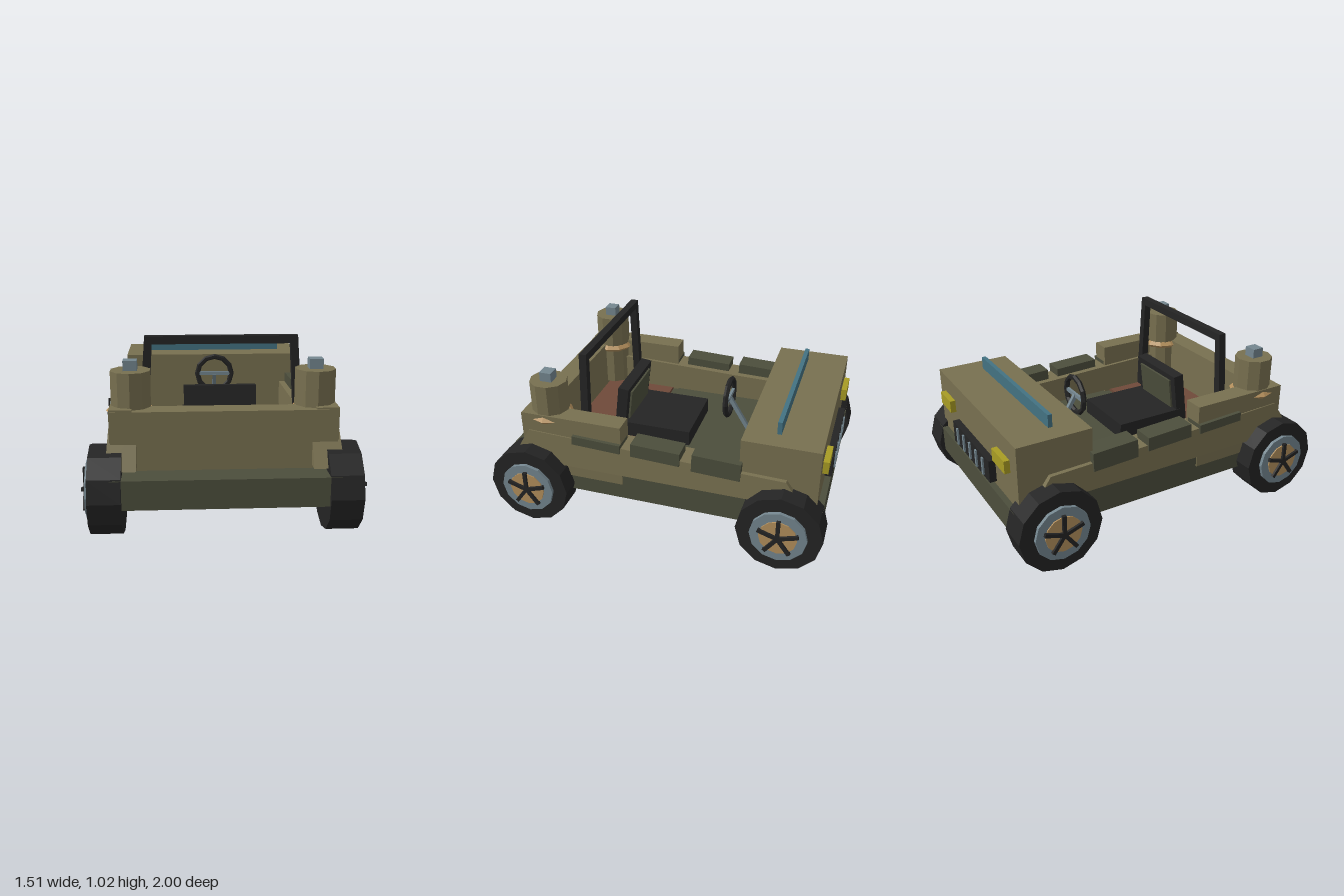
import * as THREE from 'three';

const mat = (name, color) => {
  const m = new THREE.MeshStandardMaterial({ color, flatShading: true });
  m.name = name;
  return m;
};

export function createModel() {
  const olive = mat('olive paint', 0x787050);
  const green = mat('dark green', 0x4c4e3c);
  const black = mat('black rubber', 0x242424);
  const steel = mat('blue grey steel', 0x74868f);
  const tan = mat('tan', 0xb38f5c);
  const teal = mat('teal glass', 0x437282);
  const yellow = mat('yellow lamp', 0xa89c24);
  const rust = mat('rust brown', 0x6f4a39);

  const model = new THREE.Group();
  model.name = 'openBuggy';

  const add = (name, geo, material, parent = model) => {
    const m = new THREE.Mesh(geo, material);
    m.name = name;
    parent.add(m);
    return m;
  };
  // Box given by its minimum and maximum on each axis
  const box = (name, material, [x0, x1], [y0, y1], [z0, z1], parent) => {
    const m = add(name, new THREE.BoxGeometry(x1 - x0, y1 - y0, z1 - z0), material, parent);
    m.position.set((x0 + x1) / 2, (y0 + y1) / 2, (z0 + z1) / 2);
    return m;
  };
  // Span between two distances from the centre line, on either side
  const span = (s, a, b) => (s > 0 ? [a, b] : [-b, -a]);
  const disc = (name, r, x, width, material, parent, sides = 12) => {
    const m = add(name, new THREE.CylinderGeometry(r, r, width, sides).rotateZ(Math.PI / 2), material, parent);
    m.position.x = x;
  };

  // Chassis, hood and rear panel
  box('chassis', green, [-0.6, 0.6], [0.2, 0.36], [-0.97, 0.97]);
  box('hood', olive, [-0.59, 0.59], [0.36, 0.735], [-0.935, -0.495]);
  box('rearPanel', olive, [-0.6, 0.6], [0.36, 0.68], [0.69, 0.815]);
  box('rearFloor', rust, [-0.48, 0.48], [0.355, 0.38], [0.23, 0.7]);
  box('windshield', teal, [-0.47, 0.47], [0.73, 0.81], [-0.695, -0.67]);

  // Grille with slats
  box('grille', black, [-0.285, 0.285], [0.385, 0.52], [-0.975, -0.93]);
  for (let i = -2; i <= 2; i++) {
    box('grilleSlat', steel, [i * 0.1 - 0.01, i * 0.1 + 0.01], [0.4, 0.505], [-0.985, -0.97]);
  }

  // Side panel outline, drawn in (-z, y)
  const outline = new THREE.Shape(
    [[0.89, 0.38], [0.77, 0.58], [-0.2, 0.545], [-0.76, 0.53], [-0.87, 0.38]]
      .map(([z, y]) => new THREE.Vector2(-z, y)));

  for (const s of [1, -1]) {
    const side = new THREE.Group();
    side.name = s > 0 ? 'leftSide' : 'rightSide';
    model.add(side);

    // Side panel, leaning outward towards the bottom
    const geo = new THREE.ExtrudeGeometry(outline, { depth: 0.15, bevelEnabled: false });
    geo.rotateY(Math.PI / 2).translate(s > 0 ? 0.465 : -0.615, 0, 0);
    const p = geo.attributes.position;
    for (let i = 0; i < p.count; i++) {
      if (Math.abs(p.getX(i)) > 0.6) p.setX(i, s * (0.612 + (0.58 - p.getY(i)) * 0.08));
    }
    geo.computeVertexNormals();
    add('sidePanel', geo, olive, side);

    box('rearSideBox', olive, span(s, 0.485, 0.606), [0.3, 0.69], [0.195, 0.81], side);

    // Armour pads
    [[0.195, 0.49, 0.535, 0.59], [-0.16, 0.13, 0.522, 0.605], [-0.51, -0.23, 0.495, 0.605]]
      .forEach(([z0, z1, y0, y1]) => {
        const pad = box('sidePad', green, span(s, 0.505, 0.628), [y0, y1], [z0, z1], side);
        pad.rotation.x = -0.04;
      });

    // Rear canister with cap and band
    const canister = add('canister', new THREE.CylinderGeometry(0.11, 0.11, 0.475, 10), olive, side);
    canister.position.set(s * 0.495, 0.6375, 0.67);
    box('canisterCap', steel, span(s, 0.458, 0.532), [0.87, 0.93], [0.635, 0.705], side);
    const band = add('canisterBand', new THREE.TorusGeometry(0.112, 0.022, 4, 10).rotateX(Math.PI / 2), tan, side);
    band.position.set(s * 0.495, 0.655, 0.67);

    box('headlamp', yellow, span(s, 0.33, 0.5), [0.55, 0.625], [-0.968, -0.93], side);

    // Wheels with star spokes
    for (const z of [0.755, -0.755]) {
      const wheel = new THREE.Group();
      wheel.name = z > 0 ? 'rearWheel' : 'hoodWheel';
      wheel.position.set(0, 0.245, z);
      side.add(wheel);
      disc('tire', 0.245, s * 0.6275, 0.175, black, wheel);
      disc('rim', 0.162, s * 0.72, 0.03, steel, wheel);
      disc('hub', 0.108, s * 0.73, 0.024, tan, wheel);
      for (let i = 0; i < 5; i++) {
        const spoke = add('spoke', new THREE.BoxGeometry(0.018, 0.122, 0.022).translate(s * 0.747, 0.058, 0), black, wheel);
        spoke.rotation.x = i * Math.PI * 2 / 5;
      }
    }
  }

  // Roll bar
  const bar = new THREE.Shape(
    [[-0.475, 0.36], [-0.425, 1.025], [0.425, 1.025], [0.475, 0.36],
      [0.425, 0.36], [0.385, 0.98], [-0.385, 0.98], [-0.425, 0.36]]
      .map(([x, y]) => new THREE.Vector2(x, y)));
  add('rollBar', new THREE.ExtrudeGeometry(bar, { depth: 0.045, bevelEnabled: false }).translate(0, 0, 0.455), black);

  // Seat with leaning backrest
  box('seatBase', black, [-0.215, 0.215], [0.385, 0.48], [-0.095, 0.345]);
  const back = new THREE.Group();
  back.name = 'seatBack';
  back.position.set(0, 0.55, 0.345);
  back.rotation.x = -0.12;
  model.add(back);
  box('backrest', black, [-0.21, 0.21], [-0.16, 0.16], [-0.033, 0.033], back);
  box('backrestPanel', green, [-0.165, 0.165], [-0.09, 0.125], [-0.045, -0.03], back);

  // Steering wheel, crossbar and column
  add('steeringWheel', new THREE.TorusGeometry(0.113, 0.017, 6, 12), black).position.set(0, 0.645, -0.29);
  box('steeringCrossbar', steel, [-0.105, 0.105], [0.633, 0.657], [-0.298, -0.282]);
  const from = new THREE.Vector3(0, 0.645, -0.29), to = new THREE.Vector3(0, 0.35, -0.47);
  const column = add('steeringColumn', new THREE.BoxGeometry(0.024, 0.024, from.distanceTo(to)), steel);
  column.position.copy(from).lerp(to, 0.5);
  column.lookAt(to);

  return model;
}
